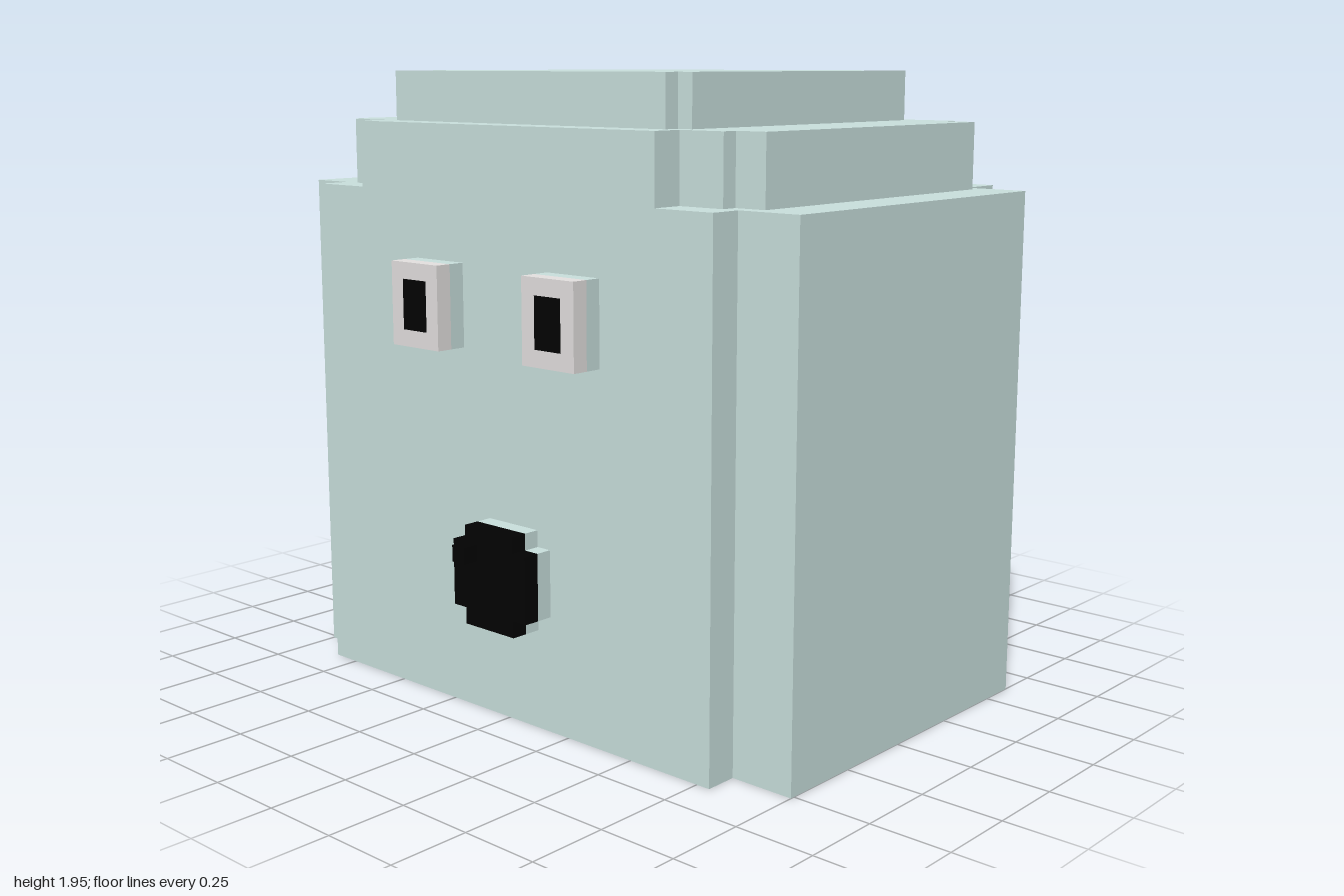
import * as THREE from 'three';

// Everything sits on a grid of small cubes: i along x, j along y, k along z
const V = 2 / 39;
const X = (i) => i * V - 1;
const Y = (j) => j * V;
const Z = (k) => (k - 15) * V;

const mat = (name, color) => {
  const m = new THREE.MeshStandardMaterial({ color });
  m.name = name;
  return m;
};

// Corner points of a plus shape: a wide rectangle crossed with a tall one
function plus([a0, a1, b0, b1], [c0, c1, d0, d1]) {
  return [
    [a0, b0], [c0, b0], [c0, d0], [c1, d0], [c1, b0], [a1, b0],
    [a1, b1], [c1, b1], [c1, d1], [c0, d1], [c0, b1], [a0, b1],
  ];
}

export function createModel() {
  const skin = mat('pale grey green', 0xc9e0dd);
  const white = mat('eye grey', 0xe4e1e0);
  const black = mat('black', 0x020202);
  const group = new THREE.Group();

  const add = (name, geo, material) => {
    const mesh = new THREE.Mesh(geo, material);
    mesh.name = name;
    group.add(mesh);
    return mesh;
  };

  function box(name, material, i0, i1, j0, j1, k0, k1) {
    const geo = new THREE.BoxGeometry((i1 - i0) * V, (j1 - j0) * V, (k1 - k0) * V);
    add(name, geo, material).position.set(
      (X(i0) + X(i1)) / 2, (Y(j0) + Y(j1)) / 2, (Z(k0) + Z(k1)) / 2);
  }

  // Horizontal slab with an optional opening; corners run counter-clockwise
  // so that the walls of the opening face inwards
  function layer(name, tier, hole, j0, j1) {
    const pts = (t) => plus(...t).map(([i, k]) => new THREE.Vector2(X(i), -Z(k))).reverse();
    const shape = new THREE.Shape(pts(tier));
    if (hole) shape.holes.push(new THREE.Path(pts(hole)));
    const geo = new THREE.ExtrudeGeometry(shape, { depth: (j1 - j0) * V, bevelEnabled: false });
    geo.rotateX(-Math.PI / 2);
    add(name, geo, skin).position.y = Y(j0);
  }

  // Outlines of the body and tiers, and of the hollow within each
  const body = [[0, 39, 3, 25], [3, 35, 0, 27]];
  const lower = [[3, 36, 4, 24], [4, 34, 3, 25]];
  const upper = [[7, 31, 4, 24], [8, 30, 3, 25]];
  const bodyHollow = [[3, 38, 4, 23], [5, 34, 1, 26]];
  const lowerHollow = [[4, 35, 5, 23], [5, 33, 4, 24]];
  const upperHollow = [[8, 30, 5, 23], [9, 29, 4, 24]];

  // Hollow body and two stepped tiers, open underneath
  layer('bodyWalls', body, bodyHollow, 0, 30);
  layer('bodyShoulder', body, lowerHollow, 30, 31);
  layer('lowerTierWalls', lower, lowerHollow, 31, 34);
  layer('lowerTierShoulder', lower, upperHollow, 34, 35);
  layer('upperTierWalls', upper, upperHollow, 35, 37);
  layer('roof', upper, null, 37, 38);
  box('brow', skin, 7, 31, 31, 35, 25, 27);

  // Plus-shaped plates facing forward
  function plate(name, material, k0, k1) {
    const pts = plus([17, 23, 7, 11], [18, 22, 6, 12]);
    const shape = new THREE.Shape(pts.map(([i, j]) => new THREE.Vector2(X(i), Y(j))));
    const geo = new THREE.ExtrudeGeometry(shape, { depth: (k1 - k0) * V, bevelEnabled: false });
    add(name, geo, material).position.z = Z(k0);
  }
  plate('mouthBase', skin, 27, 28);
  plate('mouth', black, 28, 29);
  box('mouthStud', black, 18, 19, 10, 11, 29, 30);

  // Small stepped lump inside the hollow
  box('innerLump', skin, 17, 20, 5, 9, 12, 15);
  box('innerLumpBand', skin, 16, 21, 7, 8, 12, 15);

  // Eyes: base, pale block and thin pupil
  for (const [side, i] of [['right', 12], ['left', 23]]) {
    box(side + 'EyeBase', skin, i, i + 4, 22, 27, 27, 28);
    box(side + 'Eye', white, i, i + 4, 22, 27, 28, 29);
    box(side + 'Pupil', black, i + 1, i + 3, 23, 26, 28.95, 29.02);
  }
  return group;
}
